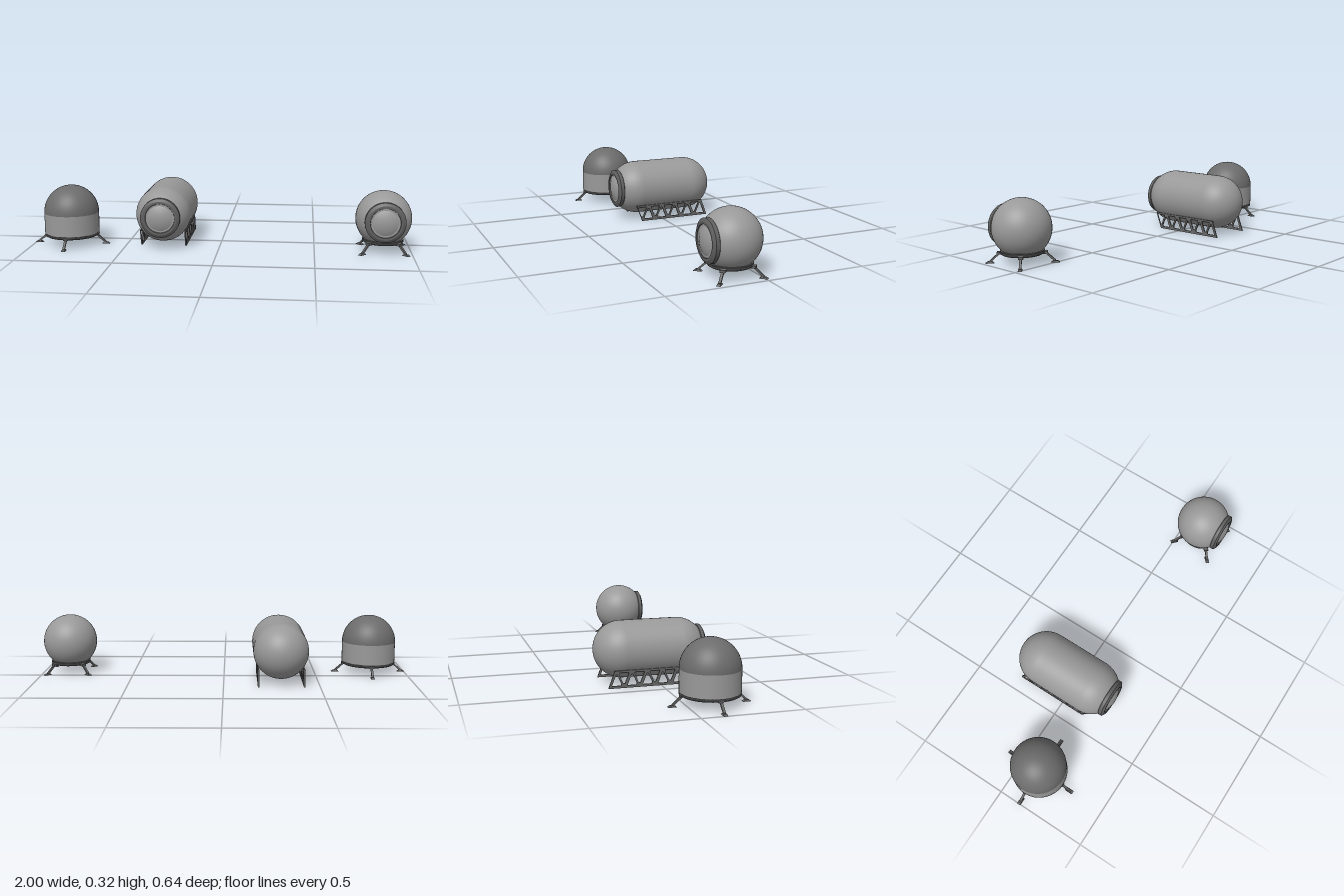
import * as THREE from 'three';

const mat = (name, color, side = THREE.FrontSide) => {
  const m = new THREE.MeshStandardMaterial({ color, side });
  m.name = name;
  return m;
};
const V = (x, y) => new THREE.Vector2(x, y);

export function createModel() {
  const shell = mat('light grey shell', 0x999999);
  const dark = mat('dark grey dome', 0x6c6c6c);
  const metal = mat('frame grey', 0x666666);
  const trim = mat('trim grey', 0x606060, THREE.DoubleSide);
  const R = 0.145, CY = 0.172, CZ = 0.115;

  const model = new THREE.Group();
  model.name = 'habitatModules';

  const add = (parent, name, geometry, material, x = 0, y = 0, z = 0) => {
    const mesh = new THREE.Mesh(geometry, material);
    mesh.name = name;
    mesh.position.set(x, y, z);
    parent.add(mesh);
    return mesh;
  };
  const group = (name, x, z) => {
    const g = new THREE.Group();
    g.name = name;
    g.position.set(x, 0, z);
    model.add(g);
    return g;
  };
  // sharp-edged turned part: every profile segment gets its own smooth band
  const turned = (parent, name, points, material) => {
    const g = new THREE.Group();
    g.name = name;
    parent.add(g);
    for (let i = 0; i < points.length - 1; i++) {
      add(g, name + 'Band', new THREE.LatheGeometry([points[i], points[i + 1]], 48), material);
    }
    return g;
  };

  // round hatch facing +z, shared by two modules
  function addHatch(parent) {
    const collar = turned(parent, 'hatchCollar',
      [V(0.098, 0.1), V(0.104, 0.106), V(0.104, 0.124), V(0.089, 0.133), V(0.077, 0.133), V(0.075, 0.128)], trim);
    collar.rotation.x = Math.PI / 2;
    collar.position.y = CY;
    const door = add(parent, 'hatchDoor', new THREE.CircleGeometry(0.076, 48), shell, 0, CY, 0.129);
    door.renderOrder = 0;
  }

  // base ring with a closed underside
  function addBase(parent, r) {
    turned(parent, 'baseRing', [V(r - 0.015, 0.066), V(r, 0.065), V(r, 0.061), V(r - 0.005, 0.059),
      V(r, 0.056), V(r, 0.051), V(r - 0.008, 0.046), V(r - 0.018, 0.046), V(r - 0.018, 0.05)], trim);
    const floor = add(parent, 'underside', new THREE.CircleGeometry(r - 0.016, 48), trim, 0, 0.05, 0);
    floor.rotation.x = Math.PI / 2;
  }

  // four splayed legs with tapered foot pads
  function addLegs(parent, topR, footR, turn) {
    for (let i = 0; i < 4; i++) {
      const leg = new THREE.Group();
      leg.name = 'landingLeg';
      leg.rotation.y = turn + i * Math.PI / 2;
      parent.add(leg);
      add(leg, 'legMount', new THREE.BoxGeometry(0.034, 0.012, 0.024), metal, topR - 0.008, 0.05, 0);
      const a = new THREE.Vector3(topR, 0.048, 0), b = new THREE.Vector3(footR, 0.007, 0);
      const d = b.clone().sub(a);
      const strut = add(leg, 'legStrut', new THREE.BoxGeometry(0.009, d.length(), 0.012), metal);
      strut.position.copy(a).add(b).multiplyScalar(0.5);
      strut.quaternion.setFromUnitVectors(new THREE.Vector3(0, 1, 0), d.normalize());
      const pad = new THREE.BoxGeometry(0.042, 0.008, 0.02);
      const p = pad.attributes.position;
      for (let k = 0; k < p.count; k++) {
        if (p.getY(k) > 0) p.setXYZ(k, p.getX(k) * 0.5, p.getY(k), p.getZ(k) * 0.8);
      }
      pad.computeVertexNormals();
      add(leg, 'footPad', pad, metal, footR, 0.004, 0);
    }
  }

  // domed module
  const dome = group('domeModule', -0.8, CZ);
  add(dome, 'domeRoof', new THREE.SphereGeometry(R, 48, 20, 0, Math.PI * 2, 0, Math.PI / 2), dark, 0, CY, 0);
  add(dome, 'domeWall', new THREE.CylinderGeometry(R, R, CY - 0.062, 48, 1, true), shell, 0, (CY + 0.062) / 2, 0);
  addBase(dome, R);
  addLegs(dome, 0.137, 0.183, 0);

  // spherical module
  const ball = group('sphereModule', 0.855, CZ);
  const cut = Math.acos((0.052 - CY) / R);
  add(ball, 'sphereShell', new THREE.SphereGeometry(R, 48, 32, 0, Math.PI * 2, 0, cut), shell, 0, CY, 0);
  addHatch(ball);
  addBase(ball, 0.106);
  addLegs(ball, 0.112, 0.156, Math.PI / 4);

  // long capsule module
  const capsule = group('capsuleModule', -0.3, CZ);
  const body = add(capsule, 'capsuleShell', new THREE.CapsuleGeometry(R, 0.29, 16, 48), shell, 0, CY, -0.145);
  body.rotation.x = Math.PI / 2;
  addHatch(capsule);

  // lattice side supports: slanted plate with alternating triangular openings
  const bays = 5, back = -0.272, pitch = 0.0794, lean = 0.033, h = 0.091;
  const end = back + bays * pitch;
  const plate = new THREE.Shape([V(back, 0.003), V(end, 0.003), V(end + lean, h), V(back + lean, h)]);
  for (let i = 0; i < bays; i++) {
    const s = back + i * pitch;
    // upright opening
    plate.holes.push(new THREE.Path([V(s + 0.017, 0.015), V(s + lean - 0.001 + 0.006, 0.071),
      V(s + lean + 0.012, 0.071), V(s + pitch - 0.013, 0.024), V(s + pitch - 0.016, 0.015)]));
    // inverted opening
    const t = s + lean;
    plate.holes.push(new THREE.Path([V(t + 0.022, 0.081), V(t + pitch - 0.008, 0.081),
      V(t + pitch - 0.009, 0.073), V(s + pitch + 0.005, 0.026), V(s + pitch - 0.004, 0.026), V(t + 0.021, 0.075)]));
  }
  const lattice = new THREE.ExtrudeGeometry(plate, { depth: 0.007, bevelEnabled: false });
  lattice.translate(0, -0.003, -0.0035).rotateY(-Math.PI / 2);
  for (const side of [-1, 1]) add(capsule, 'latticeSupport', lattice, metal, side * 0.119, 0, -CZ);

  return model;
}
